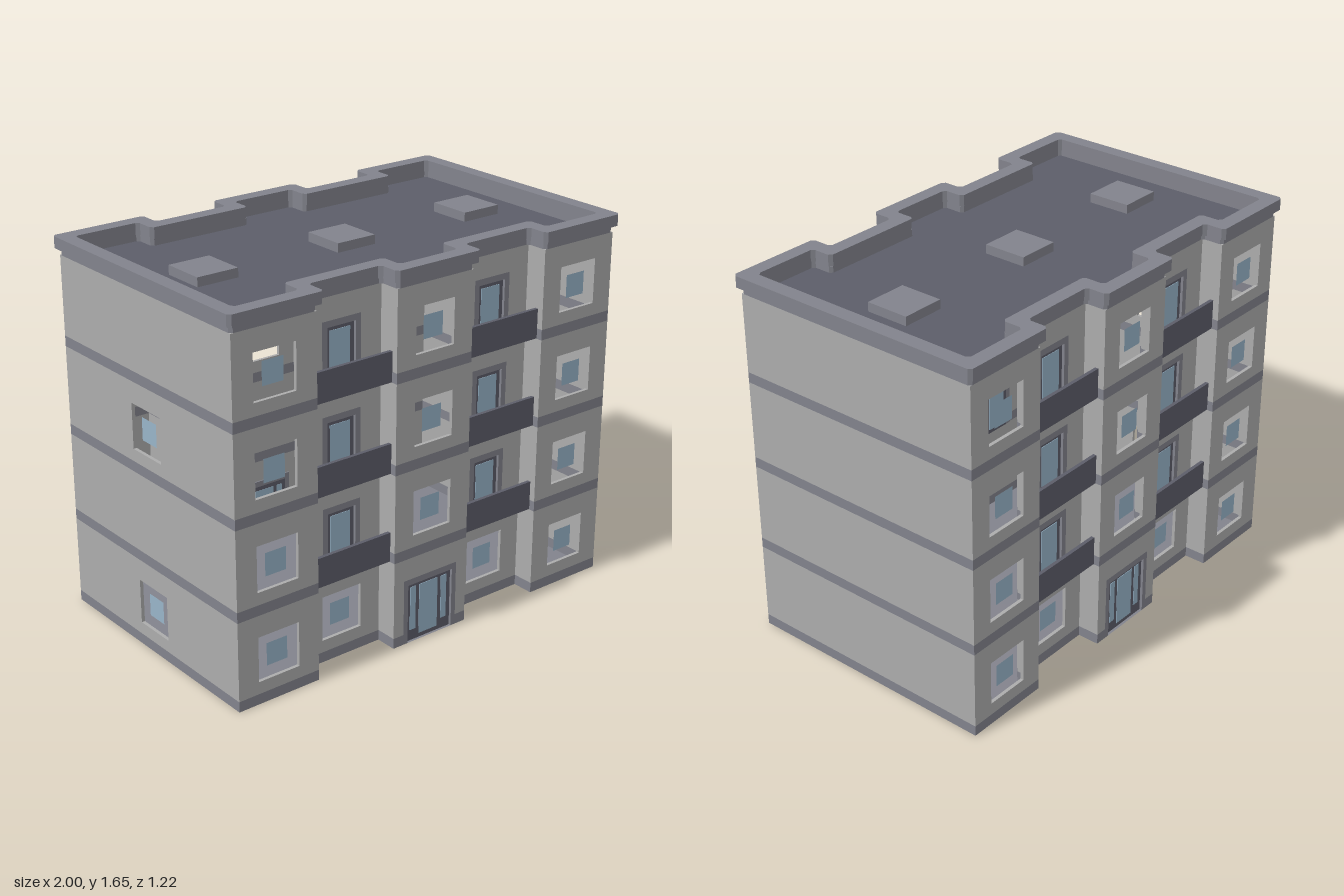
import * as THREE from 'three';

const paint = (name, color) => new THREE.MeshStandardMaterial({ name, color, side: THREE.DoubleSide });
const wallMat = paint('wall grey', 0xacacac);
const trimMat = paint('trim grey', 0x82838c);
const darkMat = paint('dark slate', 0x5c5d69);
const glassMat = paint('window glass', 0x98b4c8);

// Overall plan sizes
const BAY = 0.392, FLOOR = 0.3925, FRONT = 0.588, RECESS = 0.49, HALF = 0.98;
const BAND = 0.046, THICK = 0.015, TOP = 1.6;

function add(parent, name, geometry, material, x = 0, y = 0, z = 0) {
  const mesh = new THREE.Mesh(geometry, material);
  mesh.name = name;
  mesh.position.set(x, y, z);
  parent.add(mesh);
  return mesh;
}

const box = (parent, name, material, w, h, d, x, y, z) =>
  add(parent, name, new THREE.BoxGeometry(w, h, d), material, x, y, z);

const poly = (pts, Type = THREE.Shape) => new Type(pts.map(([x, y]) => new THREE.Vector2(x, y)));
const rect = (x0, x1, y0, y1, Type) => poly([[x0, y0], [x1, y0], [x1, y1], [x0, y1]], Type);

// Upside-down U around an opening that reaches the bottom edge
const archShape = (w, bottom, top, openW, openTop) => poly([
  [-w / 2, bottom], [-openW / 2, bottom], [-openW / 2, openTop], [openW / 2, openTop],
  [openW / 2, bottom], [w / 2, bottom], [w / 2, top], [-w / 2, top]]);

// Flat slab whose outer face lies on z = 0
function slab(parent, name, shape, material, depth = THICK) {
  const geo = new THREE.ExtrudeGeometry(shape, { depth, bevelEnabled: false });
  geo.translate(0, 0, -depth);
  return add(parent, name, geo, material);
}

// One storey of one bay: band, wall and opening ('window', 'door', 'entrance' or none)
function panel(parent, w, opening) {
  const g = new THREE.Group();
  g.name = 'wallPanel';
  parent.add(g);
  if (opening === 'door' || opening === 'entrance') {
    const wide = opening === 'entrance';
    const openW = wide ? 0.285 : 0.19, inW = wide ? 0.24 : 0.14;
    slab(g, 'wall', archShape(w, BAND, FLOOR, openW, 0.295), wallMat);
    for (const s of [-1, 1]) {
      const side = slab(g, 'floorBand', rect(-(w - openW) / 4, (w - openW) / 4, 0, BAND), trimMat);
      side.position.x = s * (w + openW) / 4;
    }
    slab(g, 'doorSurround', archShape(openW, 0, 0.295, inW, 0.268), trimMat, 0.02);
    box(g, 'doorFrame', darkMat, inW, 0.268, 0.008, 0, 0.134, -0.016);
    box(g, 'doorGlass', glassMat, 0.1, 0.23, 0.012, 0, 0.134, -0.016);
    if (wide) for (const s of [-1, 1])
      box(g, 'sideGlass', glassMat, 0.03, 0.2, 0.012, s * 0.084, 0.149, -0.016);
  } else {
    const shape = rect(-w / 2, w / 2, BAND, FLOOR);
    if (opening === 'window') {
      shape.holes.push(rect(-0.099, 0.099, 0.1, 0.298, THREE.Path));
      add(g, 'windowGlass', new THREE.PlaneGeometry(0.1, 0.1), glassMat, 0, 0.2, -0.014);
    }
    slab(g, 'wall', shape, wallMat);
    slab(g, 'floorBand', rect(-w / 2, w / 2, 0, BAND), trimMat);
  }
  return g;
}

function balcony(parent, x, y) {
  const g = new THREE.Group();
  g.name = 'balcony';
  g.position.set(x, y, 0);
  parent.add(g);
  box(g, 'balconyFloor', darkMat, BAY, 0.02, 0.06, 0, 0.012, RECESS + 0.03);
  box(g, 'balconyRail', darkMat, BAY, 0.13, 0.016, 0, 0.067, 0.552);
}

// Long side: five bays, the second and fourth set back
function facade(name) {
  const g = new THREE.Group();
  g.name = name;
  for (let floor = 0; floor < 4; floor++) {
    const y = floor * FLOOR;
    for (let bay = -2; bay <= 2; bay++) {
      const recessed = Math.abs(bay) === 1;
      const opening = floor === 0 && bay === 0 ? 'entrance' : recessed && floor > 0 ? 'door' : 'window';
      panel(g, BAY, opening).position.set(bay * BAY, y, recessed ? RECESS : FRONT);
      if (recessed && floor > 0) balcony(g, bay * BAY, y);
    }
    // Short return walls beside the set-back bays
    for (const s of [-1, 1]) for (const [edge, dir] of [[0.5, 1], [1.5, -1]]) {
      const p = panel(g, FRONT - RECESS);
      p.position.set(s * edge * BAY, y, (FRONT + RECESS) / 2);
      p.rotation.y = s * dir * Math.PI / 2;
    }
  }
  return g;
}

// Building outline grown by "off", with corners cut by "cut"
function outline(off, cut = 0, Type = THREE.Shape) {
  const a = BAY * 0.5 - 0 + off, b = BAY * 1.5 - off, f = FRONT + off, r = RECESS + off, h = HALF + off;
  const half = [[h, f], [b, f], [b, r], [a, r], [a, f], [-a, f], [-a, r], [-b, r], [-b, f], [-h, f]];
  const pts = [...half, ...half.map(([x, y]) => [-x, -y])];
  if (!cut) return poly(pts, Type);
  const out = [];
  pts.forEach((p, i) => {
    for (const q of [pts.at(i - 1), pts[(i + 1) % pts.length]]) {
      const len = Math.hypot(q[0] - p[0], q[1] - p[1]);
      out.push([p[0] + (q[0] - p[0]) * cut / len, p[1] + (q[1] - p[1]) * cut / len]);
    }
  });
  return poly(out, Type);
}

// Horizontal ring that follows the outline
function ring(parent, name, outer, inner, cut, y0, y1) {
  const shape = outline(outer, cut);
  shape.holes.push(outline(inner, cut, THREE.Path));
  const geo = new THREE.ExtrudeGeometry(shape, { depth: y1 - y0, bevelEnabled: false });
  geo.rotateX(-Math.PI / 2);
  add(parent, name, geo, trimMat, 0, y0, 0);
}

export function createModel() {
  const model = new THREE.Group();
  model.name = 'apartmentBlock';

  model.add(facade('frontFacade'));
  const back = facade('backFacade');
  back.rotation.y = Math.PI;
  model.add(back);

  // End walls; only the right one has windows
  for (const s of [-1, 1]) for (let floor = 0; floor < 4; floor++) {
    const p = panel(model, FRONT * 2, s < 0 && floor % 2 === 0 ? 'window' : 'none');
    p.name = s < 0 ? 'rightEndWall' : 'leftEndWall';
    p.position.set(s * HALF, floor * FLOOR, 0);
    p.rotation.y = s * Math.PI / 2;
  }

  // Ground slab and roof
  const ground = new THREE.ShapeGeometry(outline(0)).rotateX(Math.PI / 2);
  add(model, 'groundSlab', ground, trimMat);
  const roof = new THREE.ShapeGeometry(outline(-0.01)).rotateX(-Math.PI / 2);
  add(model, 'roof', roof, darkMat, 0, 1.572, 0);

  // Top band and parapet cap
  ring(model, 'topBand', 0, -0.046, 0.012, 4 * FLOOR, TOP);
  ring(model, 'parapet', 0.02, -0.046, 0.014, TOP, 1.65);

  // Roof hatches
  for (const x of [-0.687, 0, 0.687])
    box(model, 'roofHatch', trimMat, 0.192, 0.04, 0.196, x, 1.592, 0);

  return model;
}
